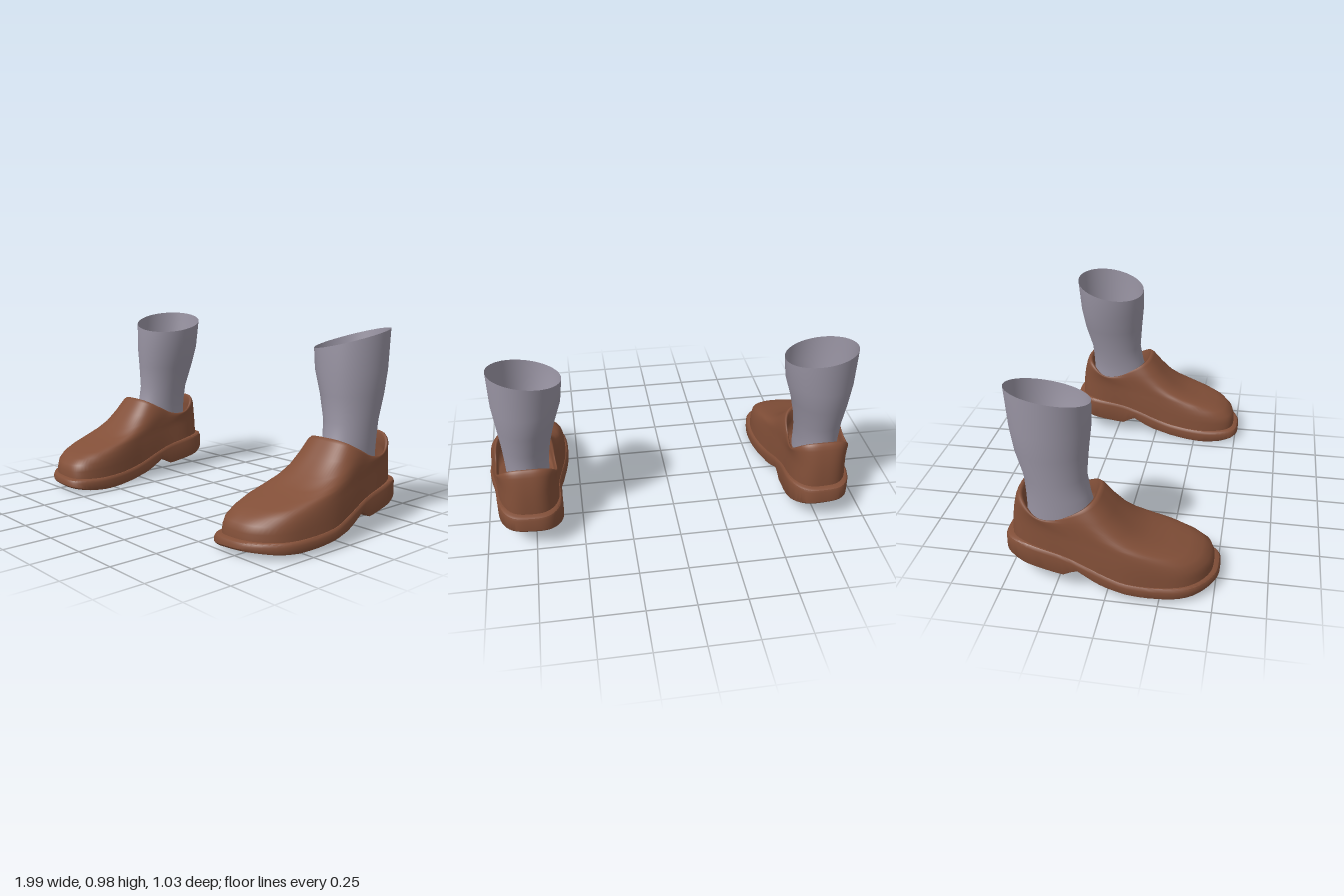
import * as THREE from 'three';
import { toCreasedNormals } from 'three/addons/utils/BufferGeometryUtils.js';

const N = 96; // points per ring

// Smooth interpolation through [position, value] pairs
function curve(table, p) {
  const n = table.length;
  if (p <= table[0][0]) return table[0][1];
  if (p >= table[n - 1][0]) return table[n - 1][1];
  let i = 0;
  while (p > table[i + 1][0]) i++;
  const slope = (k) => {
    const a = table[Math.max(k - 1, 0)], b = table[Math.min(k + 1, n - 1)];
    return (b[1] - a[1]) / (b[0] - a[0]);
  };
  const [x0, y0] = table[i], [x1, y1] = table[i + 1];
  const h = x1 - x0, t = (p - x0) / h, u = 1 - t;
  return y0 * u * u * (1 + 2 * t) + y1 * t * t * (3 - 2 * t) +
    slope(i) * h * t * u * u - slope(i + 1) * h * t * t * u;
}

// Straight interpolation, for edges that should stay sharp
function polyline(table, p) {
  for (let i = 0; i < table.length - 1; i++) {
    const [x0, y0] = table[i], [x1, y1] = table[i + 1];
    if (p <= x1) return y0 + (y1 - y0) * Math.max(0, (p - x0) / (x1 - x0));
  }
  return table[table.length - 1][1];
}

// Plan of the foot: centre line and half width along z
const CENTRE = [[-0.5, 0.765], [-0.4, 0.765], [-0.2, 0.778], [0, 0.785], [0.1, 0.783], [0.25, 0.768], [0.4, 0.75], [0.515, 0.71]];
const HALF = [[-0.5, 0.192], [-0.4, 0.19], [-0.2, 0.177], [0, 0.2], [0.1, 0.214], [0.25, 0.223], [0.4, 0.228], [0.515, 0.21]];
const SOLE_TOP = [[-0.515, 0.22], [-0.4, 0.215], [-0.3, 0.2], [-0.2, 0.18], [-0.1, 0.15], [0, 0.115], [0.1, 0.09], [0.3, 0.072], [0.515, 0.075]];
const SOLE_BOTTOM = [[-0.515, 0.12], [-0.4, 0.09], [-0.3, 0.075], [-0.21, 0.06], [-0.14, 0.1], [-0.05, 0.055], [0, 0.038], [0.1, 0.018], [0.2, 0.006], [0.3, 0], [0.4, 0.005], [0.515, 0.022]];

// Rounded foot-shaped ring; heightAt(z, t, x) gives y, t runs 0..1 from heel to toe
function footRing(zFront, zBack, scale, heightAt, n = 3.2) {
  const ring = [];
  for (let i = 0; i < N; i++) {
    const a = (i / N) * Math.PI * 2, c = Math.cos(a), s = Math.sin(a);
    const r = Math.pow(Math.abs(c) ** n + Math.abs(s) ** n, -1 / n);
    const t = (s * r + 1) / 2, z = zBack + (zFront - zBack) * t;
    const x = curve(CENTRE, z) + curve(HALF, z) * scale * c * r;
    ring.push([x, heightAt(z, t, x), z]);
  }
  return ring;
}

// Skin over stacked rings, with optional caps; side -1 mirrors the part
function loft(rings, side, { floor = false, lid = false } = {}) {
  const pos = [], idx = [];
  rings.forEach((ring) => ring.forEach(([x, y, z]) => pos.push(x * side, y, z)));
  const tri = (a, b, c) => {
    if (a === b || b === c || a === c) return;
    if (side > 0) idx.push(a, b, c); else idx.push(a, c, b);
  };
  for (let j = 0; j < rings.length - 1; j++) {
    for (let i = 0; i < N; i++) {
      const a = j * N + i, b = j * N + (i + 1) % N;
      tri(a, a + N, b);
      tri(b, a + N, b + N);
    }
  }
  const cap = (base, up) => {
    for (let i = -N / 4; i < N / 4; i++) {
      const right = (k) => base + (k + N) % N, left = (k) => base + (N / 2 - k + N) % N;
      const p = right(i), q = right(i + 1), p2 = left(i), q2 = left(i + 1);
      if (up) { tri(p, p2, q); tri(q, p2, q2); } else { tri(p, q, p2); tri(q, q2, p2); }
    }
  };
  if (floor) cap(0, false);
  if (lid) cap((rings.length - 1) * N, true);
  const geo = new THREE.BufferGeometry();
  geo.setAttribute('position', new THREE.Float32BufferAttribute(pos, 3));
  geo.setIndex(idx);
  geo.computeVertexNormals();
  return geo;
}

// Sole with raised heel, tilted slightly toward the inner side
function soleGeometry(side) {
  const tilt = (x) => (x - 0.55) * 0.06;
  const top = (drop) => (z, t, x) => curve(SOLE_TOP, z) - drop + (x - 0.76) * 0.03;
  const bottom = (lift) => (z, t, x) => polyline(SOLE_BOTTOM, z) + tilt(x) + lift;
  const rings = [
    footRing(0.508, -0.508, 0.985, bottom(0)),
    footRing(0.515, -0.515, 1, bottom(0.008)),
    footRing(0.515, -0.515, 1, top(0.016)),
    footRing(0.508, -0.51, 0.985, top(0.004)),
    footRing(0.495, -0.498, 0.96, top(-0.002)),
    footRing(0.47, -0.47, 0.9, top(-0.004)),
  ];
  return toCreasedNormals(loft(rings, side, { floor: true, lid: true }), 0.6);
}

// Upper rows: front z, back z, width scale, five heights from heel to front
const UPPER = [
  [0.485, -0.482, 0.95, 0.21, 0.18, 0.11, 0.07, 0.07],
  [0.483, -0.481, 0.94, 0.25, 0.22, 0.16, 0.125, 0.11],
  [0.47, -0.479, 0.93, 0.285, 0.255, 0.205, 0.165, 0.145],
  [0.43, -0.476, 0.915, 0.32, 0.285, 0.24, 0.2, 0.178],
  [0.37, -0.472, 0.905, 0.35, 0.31, 0.27, 0.235, 0.202],
  [0.28, -0.467, 0.9, 0.38, 0.33, 0.295, 0.265, 0.228],
  [0.19, -0.461, 0.895, 0.405, 0.345, 0.322, 0.295, 0.258],
  [0.1, -0.455, 0.89, 0.43, 0.36, 0.348, 0.338, 0.305],
  [0.02, -0.447, 0.885, 0.45, 0.372, 0.364, 0.38, 0.385],
  [-0.04, -0.436, 0.87, 0.463, 0.38, 0.374, 0.412, 0.457],
  // rolled lip and lining
  [-0.058, -0.428, 0.85, 0.465, 0.382, 0.376, 0.418, 0.47],
  [-0.072, -0.418, 0.82, 0.455, 0.375, 0.37, 0.412, 0.46],
  [-0.075, -0.418, 0.8, 0.4, 0.34, 0.335, 0.36, 0.39],
  [-0.07, -0.43, 0.8, 0.3, 0.3, 0.29, 0.28, 0.28],
];

function upperGeometry(side) {
  const rings = UPPER.map(([zf, zb, scale, ...h]) => {
    const heights = h.map((y, k) => [k / 4, y]);
    return footRing(zf, zb, scale, (z, t) => curve(heights, t), 3);
  });
  return loft(rings, side, { lid: true });
}

// Leg tube rows: height, inner x, outer x, front z, back z
const LEG = [
  [0.31, 0.655, 0.875, -0.085, -0.415],
  [0.38, 0.655, 0.878, -0.09, -0.413],
  [0.44, 0.65, 0.88, -0.105, -0.415],
  [0.53, 0.637, 0.885, -0.122, -0.422],
  [0.66, 0.607, 0.897, -0.112, -0.46],
  [0.78, 0.57, 0.91, -0.1, -0.48],
  [0.932, 0.557, 0.913, -0.1, -0.495],
];

function legGeometry(side) {
  const rings = LEG.map(([y, xi, xo, zf, zb], j) => {
    const slant = j === LEG.length - 1 ? 0.034 : 0;
    return Array.from({ length: N }, (_, i) => {
      const a = (i / N) * Math.PI * 2, c = Math.cos(a), s = Math.sin(a);
      return [(xi + xo) / 2 + (xo - xi) / 2 * c, y + slant * (c - s), (zf + zb) / 2 + (zf - zb) / 2 * s];
    });
  });
  return loft(rings, side);
}

export function createModel() {
  const leather = new THREE.MeshStandardMaterial({ color: 0x824f38 });
  leather.name = 'brown leather';
  const cloth = new THREE.MeshStandardMaterial({ color: 0x9a95a4, side: THREE.DoubleSide });
  cloth.name = 'grey cloth';

  const model = new THREE.Group();
  model.name = 'shoesAndSocks';
  for (const [side, label] of [[1, 'left'], [-1, 'right']]) {
    const foot = new THREE.Group();
    foot.name = label + 'Foot';
    const add = (name, geometry, material) => {
      const mesh = new THREE.Mesh(geometry, material);
      mesh.name = label + name;
      foot.add(mesh);
    };
    add('Sole', soleGeometry(side), leather);
    add('ShoeUpper', upperGeometry(side), leather);
    add('Sock', legGeometry(side), cloth);
    model.add(foot);
  }
  return model;
}
